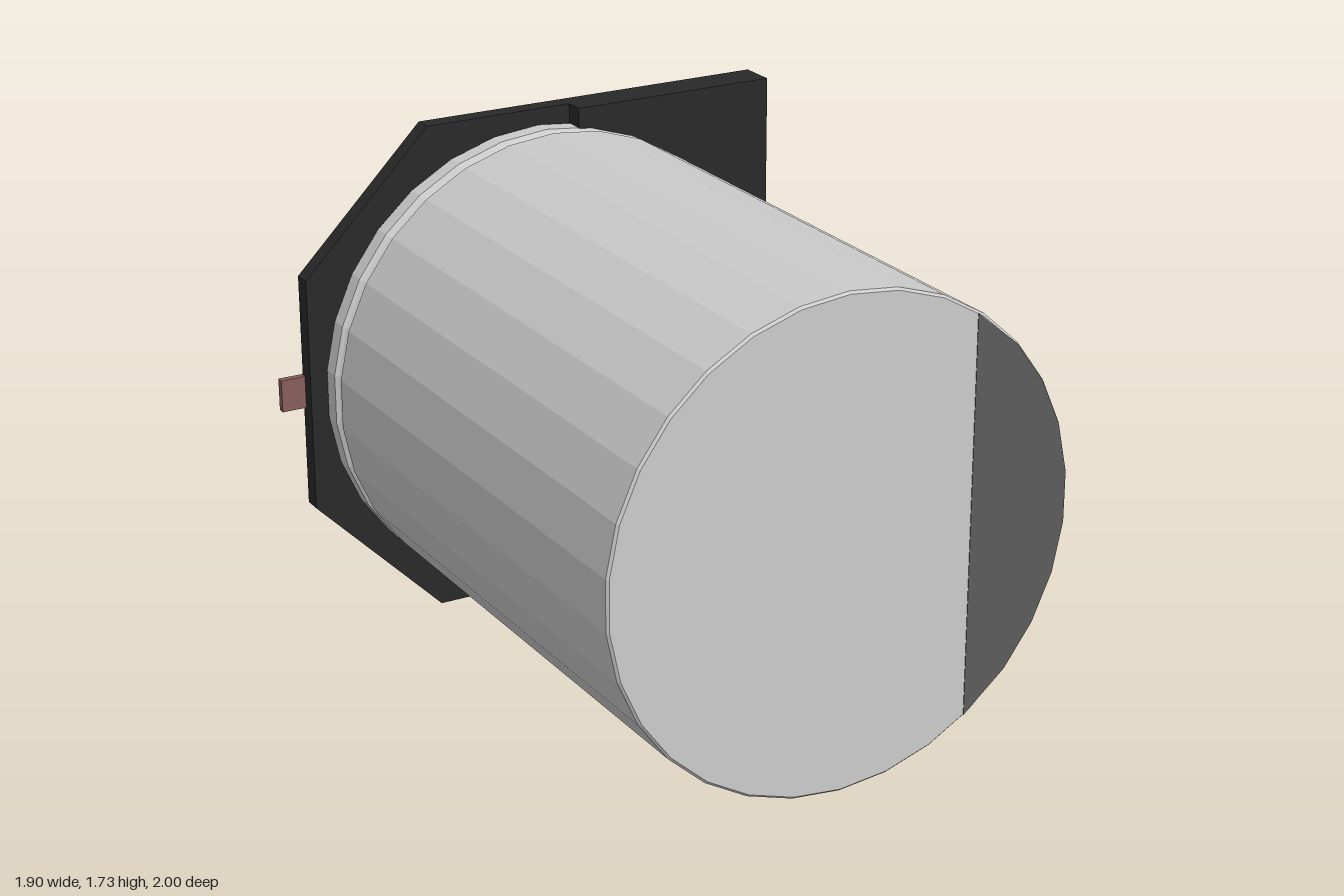
import * as THREE from 'three';

const CY = 0.865; // height of the can axis
const R = 0.81;   // can radius
const SIDES = 30;

const mat = (color) => new THREE.MeshStandardMaterial({ color, flatShading: true });

export function createModel() {
  const group = new THREE.Group();
  const metal = mat(0xcccccc);
  const plastic = mat(0x292929);
  const copper = mat(0x875d5b);
  const ink = mat(0x5c5c5c);

  const add = (name, geometry, material, x = 0, y = 0, z = 0) => {
    const mesh = new THREE.Mesh(geometry, material);
    mesh.name = name;
    mesh.position.set(x, y, z);
    group.add(mesh);
    return mesh;
  };
  // box given by its limits on each axis
  const block = (name, material, x0, x1, y0, y1, z0, z1) =>
    add(name, new THREE.BoxGeometry(x1 - x0, y1 - y0, z1 - z0), material,
      (x0 + x1) / 2, (y0 + y1) / 2, (z0 + z1) / 2);

  // faceted can: rear rim, crimped groove, long wall, small front bevel
  const profile = [
    [0, -0.935], [R - 0.01, -0.935], [R, -0.925], [R, -0.865], [R - 0.012, -0.855],
    [R - 0.02, -0.84], [R - 0.012, -0.826], [R, -0.815], [R, 0.99], [R - 0.008, 0.998], [0, 0.998],
  ].map(([r, z]) => new THREE.Vector2(r, z));
  const can = add('can', new THREE.LatheGeometry(profile, SIDES), metal, 0, CY, 0);
  can.rotation.x = Math.PI / 2;

  // dark polarity segment on the front face, following the can's facets
  const edgeX = 0.45;
  const r = R - 0.006;
  const corners = [];
  for (let i = -4; i < 4; i++) {
    const a = (i + 0.5) * 2 * Math.PI / SIDES;
    if (r * Math.cos(a) > edgeX) corners.push(new THREE.Vector2(r * Math.cos(a), r * Math.sin(a)));
  }
  const edgeY = Math.sqrt(r * r - edgeX * edgeX) - 0.003;
  corners.unshift(new THREE.Vector2(edgeX, -edgeY));
  corners.push(new THREE.Vector2(edgeX, edgeY));
  add('polarityMark', new THREE.ExtrudeGeometry(new THREE.Shape(corners),
    { depth: 0.01, bevelEnabled: false }), ink, 0, CY, 0.99);

  // base plate with two cut corners, and its thicker half
  const outline = new THREE.Shape([
    [-0.41, 0], [0.86, 0], [0.86, 1.73], [-0.41, 1.73], [-0.865, 1.27], [-0.865, 0.46],
  ].map(([x, y]) => new THREE.Vector2(x, y)));
  add('basePlate', new THREE.ExtrudeGeometry(outline, { depth: 0.063, bevelEnabled: false }),
    plastic, 0, 0, -0.993);
  block('baseStep', plastic, 0.12, 0.86, 0, 1.73, -0.94, -0.863);

  // on each side: a lead between two raised pads with copper faces
  for (const s of [-1, 1]) {
    const side = s > 0 ? 'left' : 'right';
    const span = (a, b) => (s > 0 ? [a, b] : [-b, -a]);
    block(side + 'Lead', copper, ...span(0.31, 0.95), 0.81, 0.922, -1, -0.975);
    for (const [y0, y1] of [[0.67, 0.797], [0.935, 1.06]]) {
      block(side + 'PadBase', plastic, ...span(0.295, 0.86), y0, y1, -0.998, -0.98);
      block(side + 'PadFace', copper, ...span(0.295, 0.86), y0, y1, -0.9995, -0.998);
    }
  }
  return group;
}
